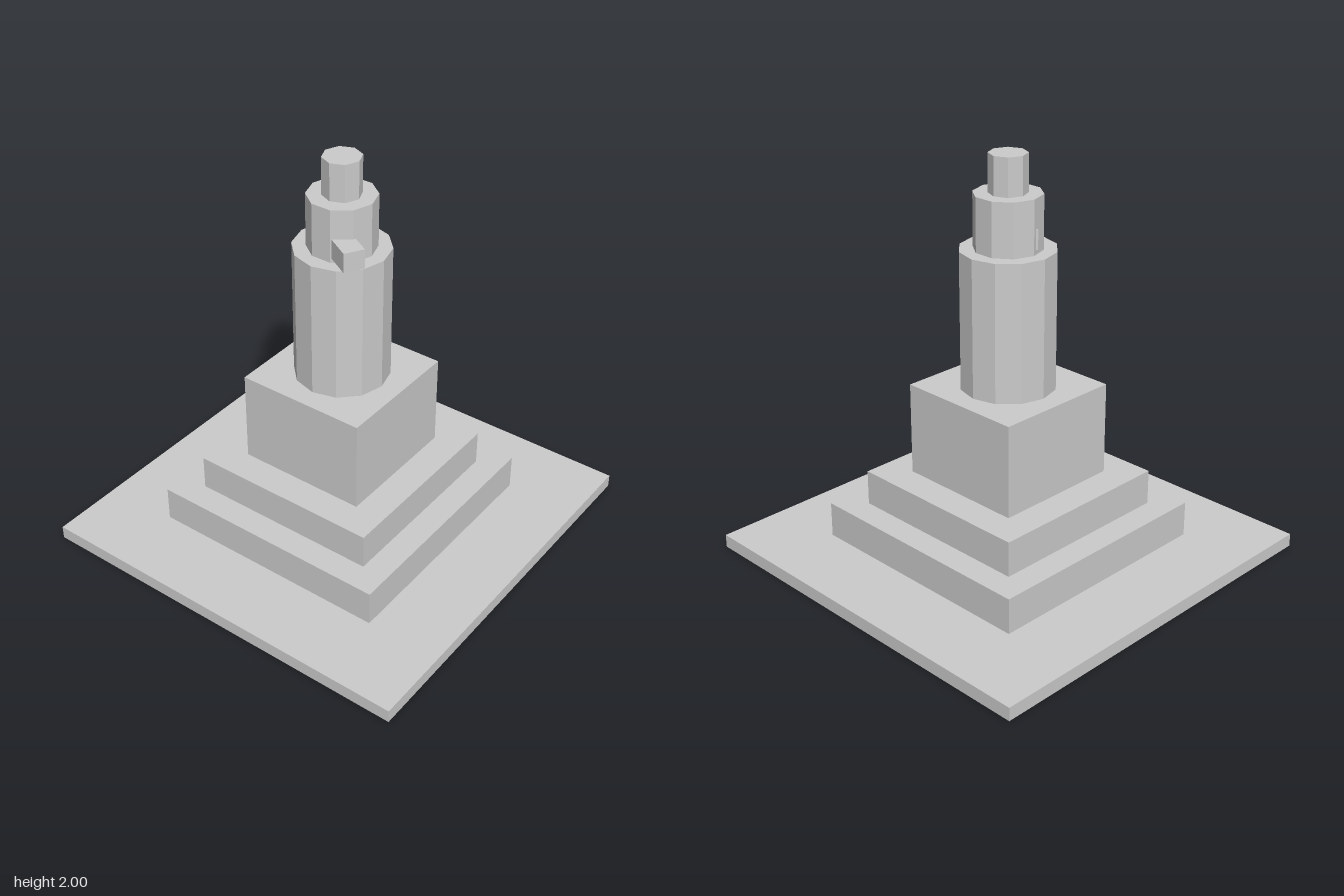
import * as THREE from 'three';

export function createModel() {
  const group = new THREE.Group();
  const material = new THREE.MeshStandardMaterial({ color: 0xcccccc, flatShading: true });

  const add = (name, geometry, y0, y1) => {
    const mesh = new THREE.Mesh(geometry, material);
    mesh.name = name;
    mesh.position.y = (y0 + y1) / 2;
    group.add(mesh);
    return mesh;
  };

  // Square stepped base: name, half width, bottom, top
  for (const [name, half, y0, y1] of [
    ['groundPlate', 0.985, 0, 0.066],
    ['lowerStep', 0.612, 0.066, 0.243],
    ['upperStep', 0.481, 0.243, 0.418],
    ['pedestal', 0.327, 0.418, 0.878],
  ]) add(name, new THREE.BoxGeometry(half * 2, y1 - y0, half * 2), y0, y1);

  // Faceted column tiers: name, radius, sides, turn, bottom, top
  for (const [name, radius, sides, turn, y0, y1] of [
    ['column', 0.23, 12, 0, 0.878, 1.556],
    ['neck', 0.163, 10, Math.PI / 2, 1.556, 1.817],
    ['cap', 0.092, 8, 0, 1.817, 2],
  ]) add(name, new THREE.CylinderGeometry(radius, radius, y1 - y0, sides), y0, y1).rotation.y = turn;

  // Beam passing off-centre through the neck, projecting at the front left
  const angle = Math.PI / 6, along = 0.065, across = 0.054;
  const beam = add('beam', new THREE.BoxGeometry(0.386, 0.096, 0.1), 1.578, 1.674);
  beam.rotation.y = -angle;
  beam.position.x = along * Math.cos(angle) - across * Math.sin(angle);
  beam.position.z = along * Math.sin(angle) + across * Math.cos(angle);

  return group;
}
